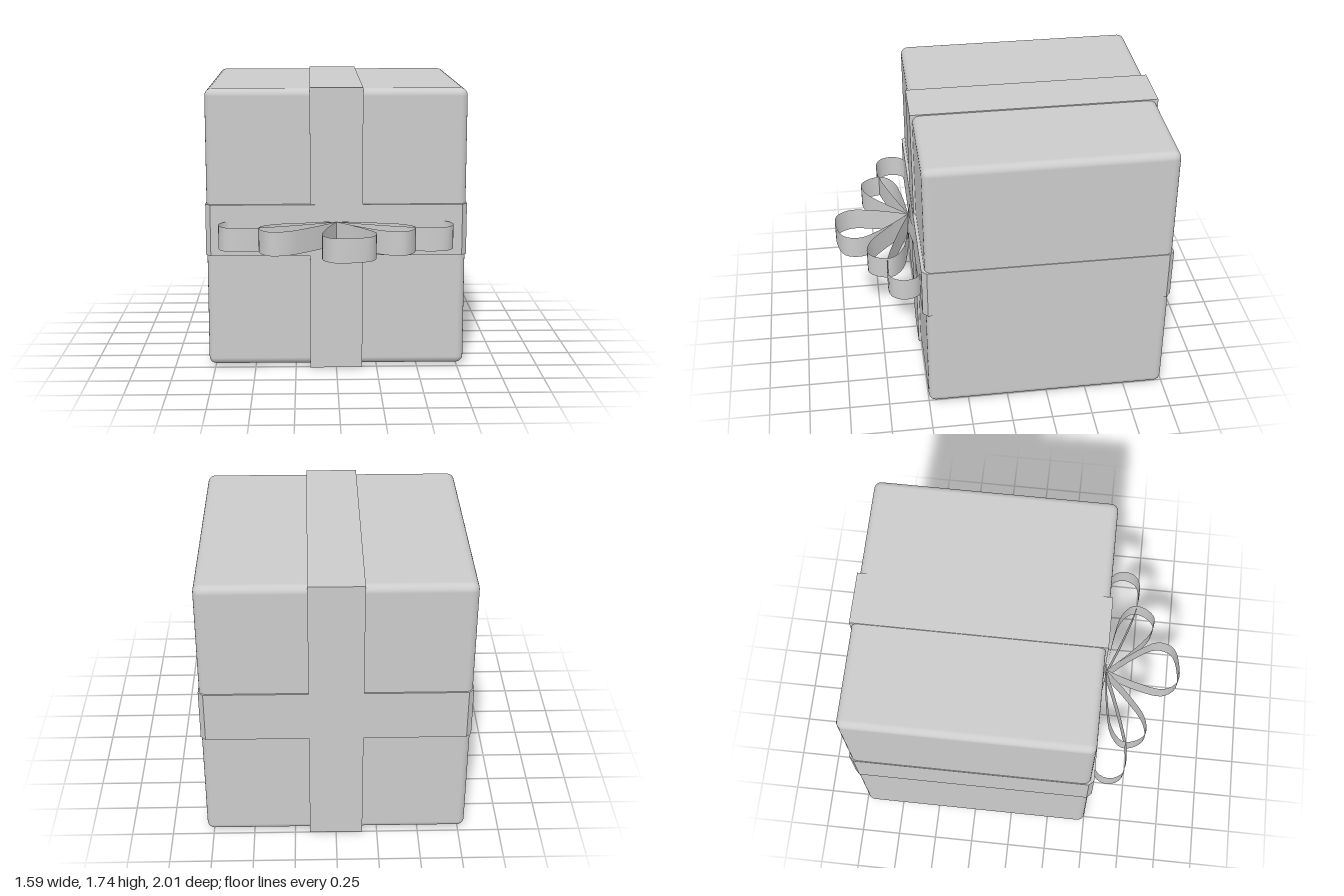
import * as THREE from 'three';
import { RoundedBoxGeometry } from 'three/addons/geometries/RoundedBoxGeometry.js';

const material = new THREE.MeshStandardMaterial({ color: 0xcccccc });
const stripMaterial = new THREE.MeshStandardMaterial({ color: 0xcccccc, side: THREE.DoubleSide });

function part(name, geometry, x, y, z, mat = material) {
  const mesh = new THREE.Mesh(geometry, mat);
  mesh.name = name;
  mesh.position.set(x, y, z);
  return mesh;
}

// Horizontal band: a rectangle with small cut corners, extruded upward
function bandGeometry(width, depth, height, cut) {
  const a = width / 2, b = depth / 2;
  const corners = [
    [a - cut, -b], [a, -b + cut], [a, b - cut], [a - cut, b],
    [-a + cut, b], [-a, b - cut], [-a, -b + cut], [-a + cut, -b],
  ];
  const shape = new THREE.Shape(corners.map(([x, y]) => new THREE.Vector2(x, y)));
  const geometry = new THREE.ExtrudeGeometry(shape, { depth: height, bevelEnabled: false });
  return geometry.rotateX(-Math.PI / 2);
}

// Bow loop: an upright strip bent into a closed teardrop that points along tip
function loopGeometry([tipX, tipZ], halfWidth, height) {
  const tip = new THREE.Vector2(tipX, tipZ);
  const length = tip.length();
  const along = tip.clone().normalize();
  const across = new THREE.Vector2(-along.y, along.x);
  const outline = [[0, 0], [0.4, 0.65], [0.75, 1], [0.95, 0.72], [1, 0],
    [0.95, -0.72], [0.75, -1], [0.4, -0.65], [0, 0]];
  const curve = new THREE.CatmullRomCurve3(outline.map(([u, v]) => new THREE.Vector3(
    along.x * u * length + across.x * v * halfWidth, 0,
    along.y * u * length + across.y * v * halfWidth)));
  const steps = 32;
  const geometry = new THREE.PlaneGeometry(1, height, steps, 1);
  const position = geometry.attributes.position;
  for (let i = 0; i < position.count; i++) {
    const p = curve.getPoint(position.getX(i) + 0.5);
    position.setXYZ(i, p.x, position.getY(i), p.z);
  }
  geometry.computeVertexNormals();
  return geometry;
}

export function createModel() {
  const model = new THREE.Group();
  model.name = 'giftBox';

  // Box with softened edges
  model.add(part('box', new RoundedBoxGeometry(1.58, 1.715, 1.49, 3, 0.045), 0, 0.8725, -0.245));

  // Crossing ribbons
  model.add(part('verticalRibbon', new THREE.BoxGeometry(0.32, 1.737, 1.515), 0, 0.8685, -0.2425));
  model.add(part('horizontalRibbon', bandGeometry(1.59, 1.52, 0.315, 0.03), 0, 0.715, -0.24));

  // Bow of five loops fanned out from the ribbon crossing
  const bow = new THREE.Group();
  bow.name = 'bow';
  const loops = [
    ['farLeftLoop', [0.7, 0.08], 0.11],
    ['leftLoop', [0.45, 0.22], 0.11],
    ['middleLoop', [0.09, 0.46], 0.16],
    ['rightLoop', [-0.45, 0.22], 0.11],
    ['farRightLoop', [-0.71, 0.08], 0.11],
  ];
  for (const [name, tip, halfWidth] of loops) {
    bow.add(part(name, loopGeometry(tip, halfWidth, 0.145), 0, 0, 0, stripMaterial));
  }
  bow.position.set(0, 0.855, 0.54);
  model.add(bow);

  return model;
}
